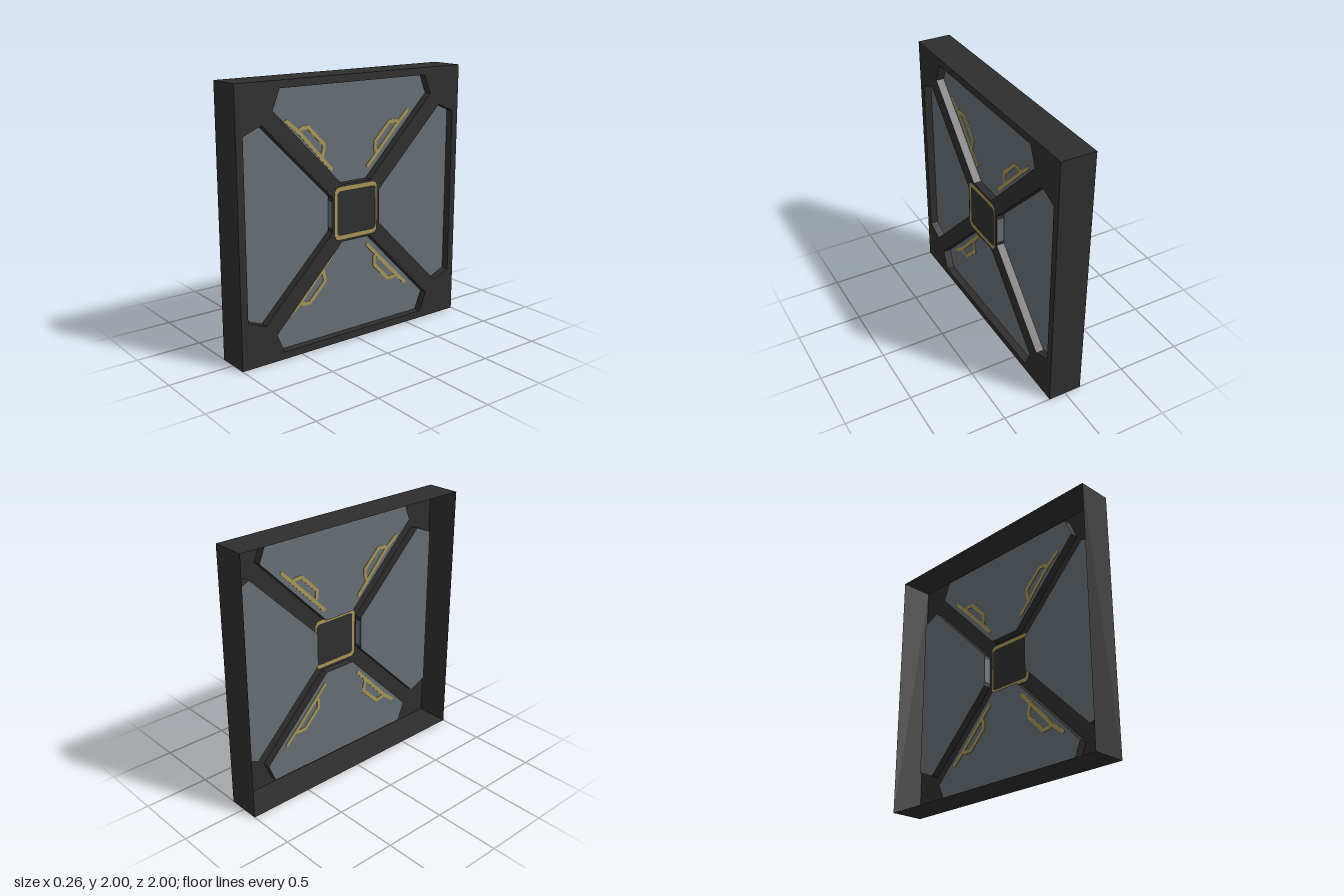
import * as THREE from 'three';
import { mergeGeometries } from 'three/addons/utils/BufferGeometryUtils.js';

const FACE = 0.13;   // outer face of the panel
const GLASS = 0.07;  // recessed pane depth

const material = (name, color, side = THREE.FrontSide) => {
  const m = new THREE.MeshStandardMaterial({ color, side });
  m.name = name;
  return m;
};

// One trapezoid opening with clipped outer corners; the other three are quarter turns
const opening = [[-0.13, 0.215], [0.13, 0.215], [0.71, 0.8], [0.65, 0.945],
  [-0.65, 0.945], [-0.71, 0.8]].map(([x, y]) => new THREE.Vector2(x, y));
const openings = [0, 1, 2, 3].map((i) =>
  opening.map((p) => p.clone().rotateAround(new THREE.Vector2(), i * Math.PI / 2)));

// Side walls of an opening, from the face back to the pane
function skirt(points) {
  const pos = [];
  points.forEach((a, i) => {
    const b = points[(i + 1) % points.length];
    pos.push(a.x, a.y, FACE, a.x, a.y, GLASS, b.x, b.y, GLASS,
      a.x, a.y, FACE, b.x, b.y, GLASS, b.x, b.y, FACE);
  });
  const g = new THREE.BufferGeometry();
  g.setAttribute('position', new THREE.Float32BufferAttribute(pos, 3));
  g.computeVertexNormals();
  return g;
}

// Flat round-ended strokes along a path, showing on both sides of the pane
function stroke(path, width) {
  const r = width / 2;
  return path.slice(1).map((b, i) => {
    const a = path[i];
    const dx = b[0] - a[0], dy = b[1] - a[1];
    const pill = new THREE.Shape();
    pill.absarc(0, 0, r, Math.PI / 2, Math.PI * 1.5);
    pill.absarc(Math.hypot(dx, dy), 0, r, -Math.PI / 2, Math.PI / 2);
    return new THREE.ExtrudeGeometry(pill, { depth: 0.008, bevelEnabled: false, curveSegments: 5 })
      .rotateZ(Math.atan2(dy, dx)).translate(a[0], a[1], GLASS - 0.004);
  });
}

function roundedRect(target, x0, y0, x1, y1, r) {
  target.absarc(x1 - r, y1 - r, r, 0, Math.PI / 2);
  target.absarc(x0 + r, y1 - r, r, Math.PI / 2, Math.PI);
  target.absarc(x0 + r, y0 + r, r, Math.PI, Math.PI * 1.5);
  target.absarc(x1 - r, y0 + r, r, Math.PI * 1.5, Math.PI * 2);
  target.closePath();
  return target;
}

export function createModel() {
  const frameMat = material('charcoal frame', 0x2e2e2e, THREE.DoubleSide);
  const glassMat = material('slate pane', 0x666f75, THREE.DoubleSide);
  const goldMat = material('dull gold', 0xa89656);

  const model = new THREE.Group();
  model.name = 'windowPanel';
  const panel = new THREE.Group(); // drawn facing local +z, then turned to face +x
  panel.name = 'panel';
  panel.rotation.y = Math.PI / 2;
  panel.position.y = 1;
  model.add(panel);

  const add = (name, geometry, mat) => {
    const mesh = new THREE.Mesh(geometry, mat);
    mesh.name = name;
    panel.add(mesh);
  };

  // Thin outer walls, open at the back
  const wall = new THREE.PlaneGeometry(2, 2 * FACE).rotateX(-Math.PI / 2).translate(0, 1, 0);
  add('outerWalls', mergeGeometries([0, 1, 2, 3].map((i) =>
    wall.clone().rotateZ(i * Math.PI / 2))), frameMat);

  // Face sheet with the crossing bars left between four openings
  const sheet = new THREE.Shape([[-1, -1], [1, -1], [1, 1], [-1, 1]].map(([x, y]) => new THREE.Vector2(x, y)));
  sheet.holes = openings.map((pts) => new THREE.Path(pts));
  add('crossFrame', new THREE.ShapeGeometry(sheet).translate(0, 0, FACE), frameMat);

  openings.forEach((pts, i) => {
    const side = ['top', 'front', 'bottom', 'back'][i];
    add(side + 'OpeningWalls', skirt(pts), frameMat);
    add(side + 'Pane', new THREE.ShapeGeometry(new THREE.Shape(pts)).translate(0, 0, GLASS), glassMat);
  });

  // Pale strips on the hub walls beside the side panes
  for (const s of [-1, 1]) {
    add('hubStrip', new THREE.BoxGeometry(0.006, 0.2, 0.05).translate(s * 0.215, 0, 0.1), glassMat);
  }

  // Gold bracket marks on the upper and lower panes
  const leftMark = [
    [[-0.565, 0.705], [-0.47, 0.63], [-0.185, 0.325]],
    [[-0.47, 0.63], [-0.44, 0.645], [-0.385, 0.65], [-0.25, 0.515], [-0.25, 0.48], [-0.27, 0.405]],
  ];
  const rightMark = [
    [[0.53, 0.685], [0.445, 0.605], [0.152, 0.307]],
    [[0.445, 0.605], [0.41, 0.615], [0.355, 0.615], [0.22, 0.48], [0.22, 0.42], [0.24, 0.395]],
  ];
  for (const [name, mark] of [['Front', leftMark], ['Back', rightMark]]) {
    for (const v of [1, -1]) {
      const strokes = mark.flatMap((path) => stroke(path.map(([x, y]) => [x, y * v]), 0.028));
      add((v > 0 ? 'upper' : 'lower') + name + 'Mark', mergeGeometries(strokes), goldMat);
    }
  }

  // Gold border around the central hub, thinner on the sides
  const border = roundedRect(new THREE.Shape(), -0.198, -0.196, 0.187, 0.198, 0.04);
  border.holes.push(roundedRect(new THREE.Path(), -0.177, -0.166, 0.178, 0.168, 0.03));
  add('hubBorder', new THREE.ExtrudeGeometry(border, { depth: 0.006, bevelEnabled: false, curveSegments: 6 })
    .translate(0, 0, FACE - 0.003), goldMat);

  return model;
}
